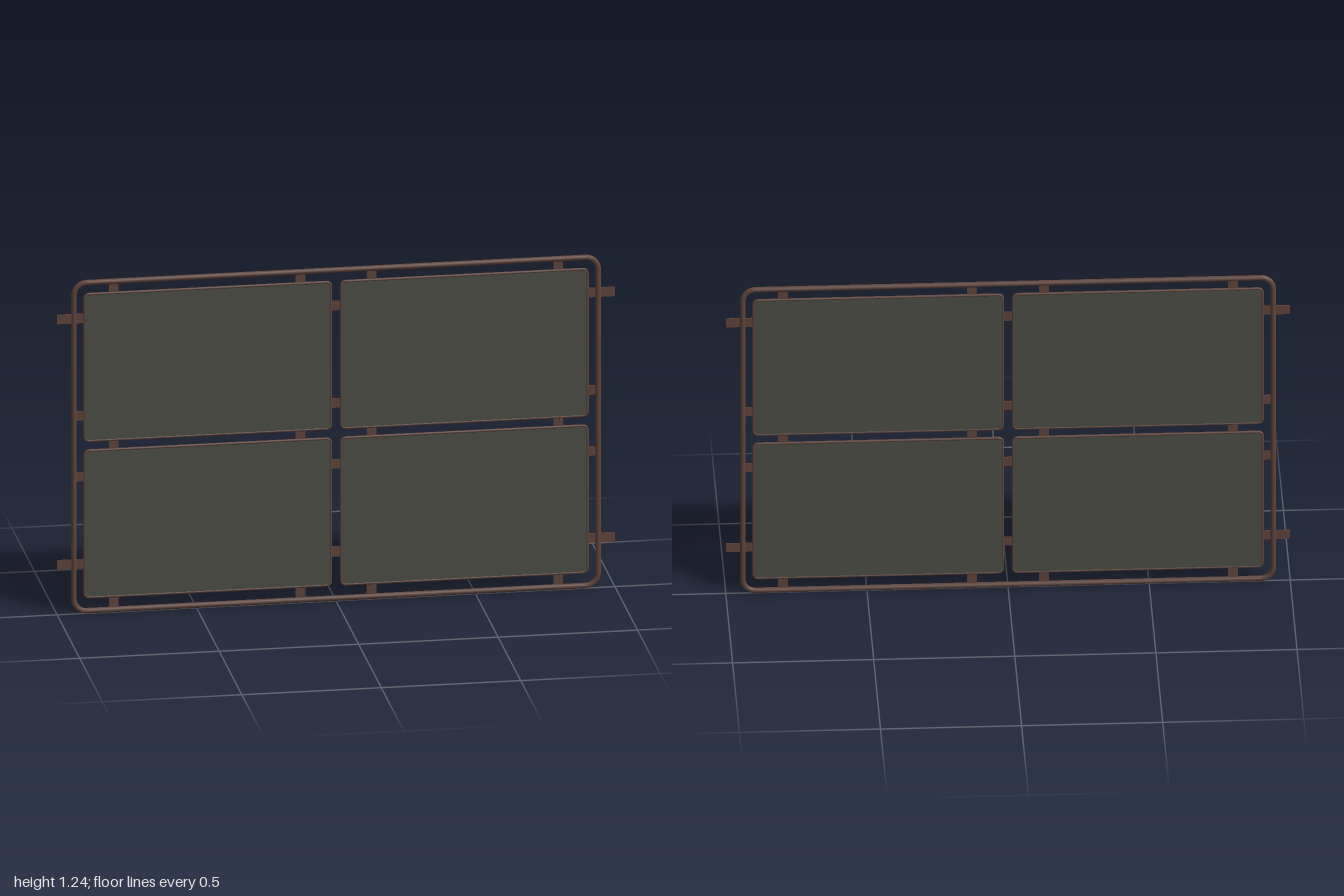
import * as THREE from 'three';
import { mergeGeometries } from 'three/addons/utils/BufferGeometryUtils.js';

const H = 1.242;          // overall height
const MID = H / 2 + 0.003; // height of the gap between panel rows

// Closed round tube following a rounded rectangle (w, h are centreline sizes)
function tubeLoop(w, h, corner, r) {
  const parts = [];
  const sx = w / 2 - corner, sy = h / 2 - corner;
  for (const s of [-1, 1]) {
    parts.push(new THREE.CylinderGeometry(r, r, sx * 2, 10, 1, true).rotateZ(Math.PI / 2).translate(0, s * h / 2, 0));
    parts.push(new THREE.CylinderGeometry(r, r, sy * 2, 10, 1, true).translate(s * w / 2, 0, 0));
  }
  [[1, 1], [-1, 1], [-1, -1], [1, -1]].forEach(([x, y], i) => {
    parts.push(new THREE.TorusGeometry(corner, r, 10, 8, Math.PI / 2).rotateZ(i * Math.PI / 2).translate(x * sx, y * sy, 0));
  });
  return mergeGeometries(parts);
}

// Thin plate with rounded corners, centred on its own origin
function roundedPlate(w, h, c, depth) {
  const x = w / 2, y = h / 2;
  const s = new THREE.Shape();
  s.moveTo(-x + c, -y);
  s.lineTo(x - c, -y);
  s.absarc(x - c, -y + c, c, -Math.PI / 2, 0);
  s.lineTo(x, y - c);
  s.absarc(x - c, y - c, c, 0, Math.PI / 2);
  s.lineTo(-x + c, y);
  s.absarc(-x + c, y - c, c, Math.PI / 2, Math.PI);
  s.lineTo(-x, -y + c);
  s.absarc(-x + c, -y + c, c, Math.PI, Math.PI * 1.5);
  return new THREE.ExtrudeGeometry(s, { depth, bevelEnabled: false, curveSegments: 6 }).translate(0, 0, -depth / 2);
}

export function createModel() {
  const group = new THREE.Group();
  const brown = new THREE.MeshStandardMaterial({ color: 0x5f443b });
  brown.name = 'brown frame';
  const green = new THREE.MeshStandardMaterial({ color: 0x4b4e45 });
  green.name = 'grey green panel';

  const add = (name, geometry, material, x, y) => {
    const mesh = new THREE.Mesh(geometry, material);
    mesh.name = name;
    mesh.position.set(x, y, 0);
    group.add(mesh);
  };

  // Outer tubular frame
  const R = 0.01;
  add('outerFrame', tubeLoop(1.9 - 2 * R, H - 2 * R, 0.045, R), brown, 0, H / 2);

  // Four panels, each with a slim rim
  const pw = 0.893, ph = 0.556, rim = 0.005;
  const rimGeometry = tubeLoop(pw - 2 * rim, ph - 2 * rim, 0.016, rim);
  const panelGeometry = roundedPlate(pw - 2 * rim, ph - 2 * rim, 0.016, 0.007);
  for (const sx of [-1, 1]) {
    for (const sy of [-1, 1]) {
      const x = sx * 0.46, y = MID + sy * 0.2915;
      add('panelRim', rimGeometry, brown, x, y);
      add('panel', panelGeometry, green, x, y);
    }
  }

  // Flat straps running through the panels; the outer rows stick out as tabs
  const strap = 0.035, thin = 0.004;
  for (const x of [-0.797, -0.128, 0.128, 0.797]) {
    add('verticalStrap', new THREE.BoxGeometry(strap, H - 2 * R, thin), brown, x, H / 2);
  }
  for (const [y, length] of [[1.1, 2], [0.737, 1.88], [0.51, 1.88], [0.186, 2]]) {
    add('horizontalStrap', new THREE.BoxGeometry(length, strap, thin), brown, 0, y);
  }
  return group;
}
